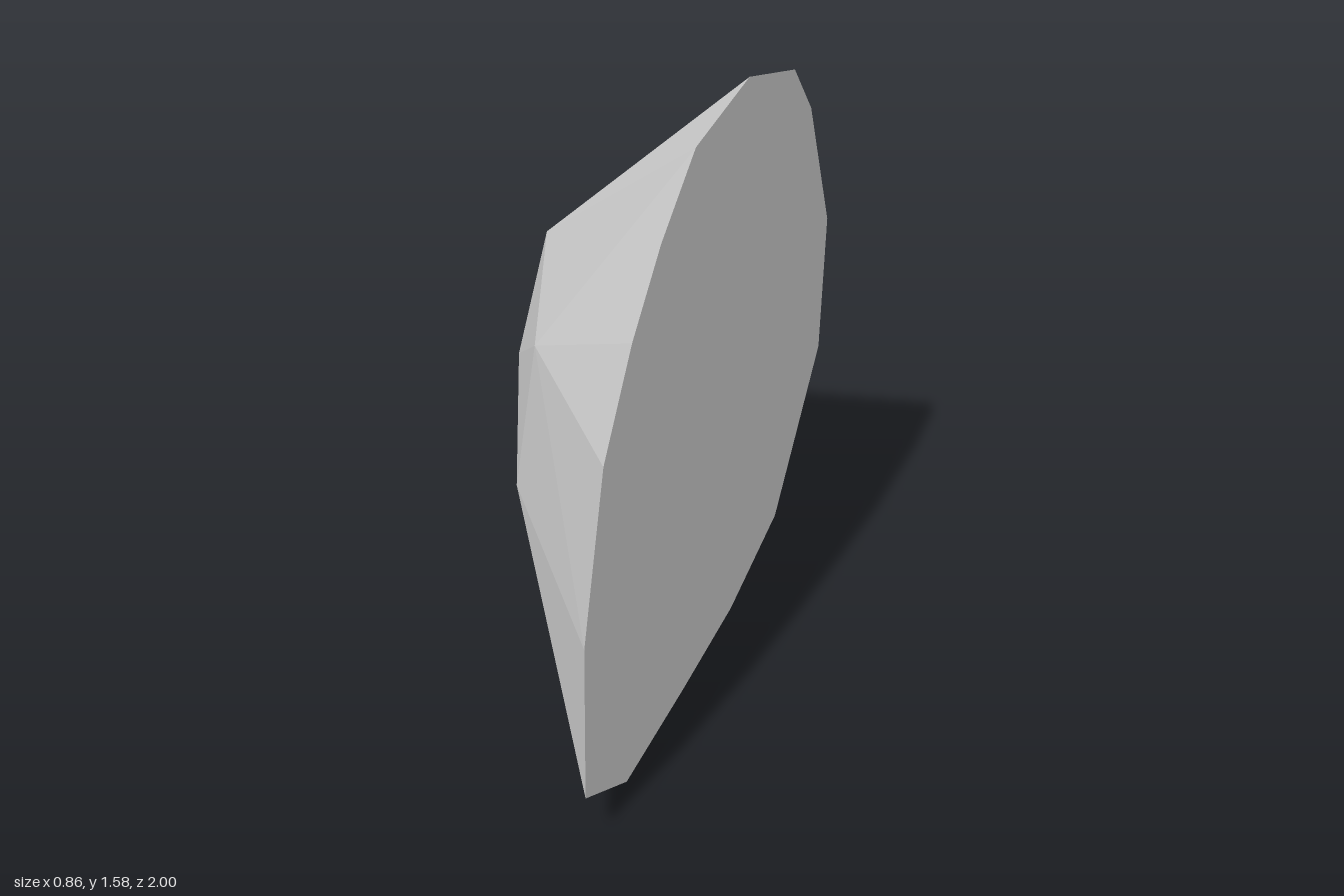
import * as THREE from 'three';
import { ConvexGeometry } from 'three/addons/geometries/ConvexGeometry.js';

export function createModel() {
  const group = new THREE.Group();
  group.name = 'rockShard';
  const stone = new THREE.MeshStandardMaterial({ color: 0xcccccc });
  stone.name = 'stone grey';
  stone.flatShading = true;

  // Outline of the flat cut face, as [y, z]
  const cutX = 0.432;
  const cutFace = [
    [1.585, -0.095], [1.515, 0.31], [1.35, 0.54], [1.175, 0.72], [0.945, 0.89],
    [0.54, 1.0], [0.135, 0.99], [0.005, 0.72], [0.025, 0.31], [0.055, -0.095],
    [0.15, -0.505], [0.54, -0.907], [0.945, -0.932], [1.35, -0.69], [1.505, -0.505],
  ].map(([y, z]) => new THREE.Vector3(cutX, y, z));

  // Corners of the faceted bulge
  const bulge = [
    [-0.3, 0.945, -0.505], [-0.38, 0.835, -0.91], [-0.432, 0.54, -0.91],
    [-0.395, 0.54, -0.505], [-0.04, 0.54, 0.31], [0.015, 0.945, 0.31],
    [-0.38, 0.54, -1.0], [-0.38, 0.46, -0.91], [0.025, 0.205, -0.095],
    [0.025, 0.54, -0.98], [-0.145, 0.945, -0.91],
  ].map((p) => new THREE.Vector3(...p));

  const rock = new THREE.Mesh(new ConvexGeometry([...cutFace, ...bulge]), stone);
  rock.name = 'rock';
  group.add(rock);
  return group;
}
